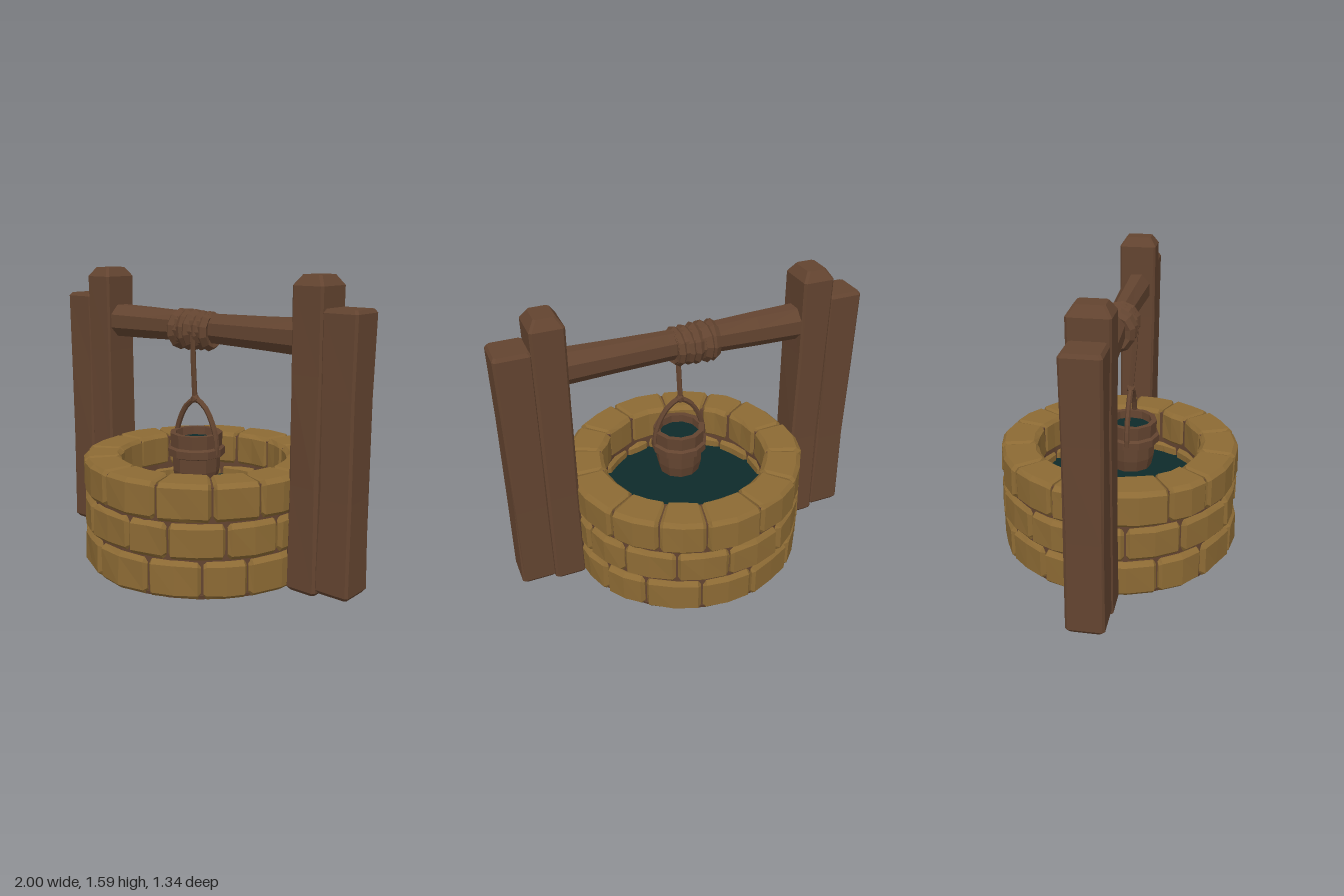
import * as THREE from 'three';

const flat = (name, color, side = THREE.FrontSide) => {
  const m = new THREE.MeshStandardMaterial({ color, flatShading: true, side });
  m.name = name;
  return m;
};

// Small seeded generator for hand-hewn irregularity
let seed = 7;
const rnd = (a = -1, b = 1) => {
  seed = (seed * 16807) % 2147483647;
  return a + (b - a) * (seed / 2147483647);
};

// Closed solid from a list of equal-length point rings, capped at both ends
function loft(rings) {
  const n = rings[0].length;
  const tris = [];
  for (let i = 0; i < rings.length - 1; i++) {
    for (let j = 0; j < n; j++) {
      const k = (j + 1) % n;
      const a = rings[i][j], b = rings[i][k], c = rings[i + 1][k], d = rings[i + 1][j];
      tris.push([a, b, c], [a, c, d]);
    }
  }
  const first = rings[0], last = rings[rings.length - 1];
  for (let j = 1; j < n - 1; j++) {
    tris.push([first[0], first[j + 1], first[j]], [last[0], last[j], last[j + 1]]);
  }
  // Turn every face outward by checking the signed volume
  let volume = 0;
  const cross = new THREE.Vector3();
  tris.forEach(([a, b, c]) => { volume += a.dot(cross.crossVectors(b, c)); });
  const pts = tris.flatMap(([a, b, c]) => (volume > 0 ? [a, b, c] : [a, c, b]));
  const g = new THREE.BufferGeometry().setFromPoints(pts);
  g.computeVertexNormals();
  return g;
}

// Rectangle with cut corners, as [u, v] pairs
const cutRect = (w, h, c) => [
  [-w + c, -h], [w - c, -h], [w, -h + c], [w, h - c],
  [w - c, h], [-w + c, h], [-w, h - c], [-w, -h + c],
];

// One curved stone of a ring course
function stoneGeometry(a0, a1, y0, y1, rIn, rOut) {
  const gap = 0.008, bevel = 0.035, mid = (rIn + rOut) / 2;
  const w = (rOut - rIn) / 2, h = (y1 - y0) / 2, yc = (y0 + y1) / 2;
  const stations = [[0, 0.018], [bevel, 0], [(a1 - a0) / 2, -0.002], [a1 - a0 - bevel, 0], [a1 - a0 - gap, 0.018]];
  return loft(stations.map(([da, inset], i) => {
    const a = a0 + (i === 0 ? gap : da);
    const wobble = rnd(-0.006, 0.006);
    return cutRect(w - inset, h - inset * 0.6, 0.022).map(([u, v]) => {
      const r = mid + u + wobble + rnd(-0.004, 0.004);
      return new THREE.Vector3(Math.cos(a) * r, yc + v, Math.sin(a) * r);
    });
  }));
}

// Upright timber with chamfered ends and slightly uneven faces
function timberGeometry(w, d, y0, y1, chamfer) {
  const h = y1 - y0;
  const levels = [
    [y0, 0.015], [y0 + 0.02, 0], [y0 + h * 0.35, 0.004],
    [y0 + h * 0.7, 0.003], [y1 - chamfer * 1.5, 0], [y1, chamfer],
  ];
  return loft(levels.map(([y, inset], i) => {
    const j = i === 2 || i === 3 ? 0.004 : 0;
    return cutRect(w - inset, d - inset, 0.012)
      .map(([x, z]) => new THREE.Vector3(x + rnd() * j, y, z + rnd() * j));
  }));
}

export function createModel() {
  seed = 7;
  const stone = flat('sandstone', 0x8c6a34);
  const wood = flat('dark wood', 0x634430);
  const water = flat('deep water', 0x0e2a2a, THREE.DoubleSide);

  const model = new THREE.Group();
  model.name = 'well';
  const add = (name, geometry, material, parent = model) => {
    const mesh = new THREE.Mesh(geometry, material);
    mesh.name = name;
    parent.add(mesh);
    return mesh;
  };

  // Three courses of stones with staggered joints
  const wall = new THREE.Group();
  wall.name = 'stoneWall';
  model.add(wall);
  [[0.01, 0.205], [0.215, 0.4], [0.41, 0.605]].forEach(([y0, y1], course) => {
    const count = 14, step = (Math.PI * 2) / count;
    const joints = Array.from({ length: count }, (_, i) => (i + course * 0.45) * step + rnd() * 0.07);
    joints.forEach((a, i) => {
      const end = i + 1 < count ? joints[i + 1] : joints[0] + Math.PI * 2;
      add('stone', stoneGeometry(a, end, y0, y1, 0.455, 0.66), stone, wall);
    });
  });

  // Mortar core behind the joints
  const mortar = [[0.47, 0.02], [0.635, 0.02], [0.635, 0.585], [0.47, 0.585], [0.47, 0.02]];
  add('mortar', new THREE.LatheGeometry(mortar.map(([r, y]) => new THREE.Vector2(r, y)), 28), wood);

  // Floor and water surface
  add('floor', new THREE.CylinderGeometry(0.64, 0.635, 0.02, 28), wood).position.y = 0.018;
  const pool = add('wellWater', new THREE.CircleGeometry(0.475, 28), water);
  pool.rotation.x = -Math.PI / 2;
  pool.position.y = 0.34;

  // Tall inner posts and shorter outer posts on both sides
  for (const side of [-1, 1]) {
    add('innerPost', timberGeometry(0.088, 0.105, 0.003, 1.595, 0.034), wood).position.x = side * 0.728;
    add('outerPost', timberGeometry(0.096, 0.098, 0.028, 1.442, 0.012), wood).position.x = side * 0.904;
  }

  // Crossbeam, thinner towards the middle
  const beamSections = [[-0.67, 0.092, 0.09], [-0.4, 0.087, 0.078], [-0.1, 0.078, 0.062],
    [0.1, 0.078, 0.06], [0.4, 0.084, 0.07], [0.67, 0.092, 0.08]];
  add('crossbeam', loft(beamSections.map(([x, ry, rz]) => Array.from({ length: 8 }, (_, i) => {
    const a = (i + 0.5) * Math.PI / 4, s = 1.07;
    return new THREE.Vector3(x, 1.29 + Math.sin(a) * ry * s, -0.005 + Math.cos(a) * rz * s);
  }))), wood);

  // Rope coiled around the beam
  const coil = new THREE.Group();
  coil.name = 'ropeCoil';
  coil.position.set(-0.055, 1.275, 0);
  model.add(coil);
  const core = add('coilCore', new THREE.CylinderGeometry(0.098, 0.098, 0.23, 10), wood, coil);
  core.rotation.z = Math.PI / 2;
  for (let i = 0; i < 5; i++) {
    const loop = add('coilLoop', new THREE.TorusGeometry(0.083 + rnd() * 0.004, 0.03, 5, 11), wood, coil);
    loop.position.x = (i - 2) * 0.05;
    loop.rotation.set(rnd() * 0.1, Math.PI / 2 + rnd() * 0.16, 0);
  }

  // Hanging rope, knot and forked handle
  const bucketZ = 0.065;
  const tube = (points, radius) => new THREE.TubeGeometry(
    new THREE.CatmullRomCurve3(points.map(p => new THREE.Vector3(...p))), 8, radius, 6);
  add('rope', tube([[0, 1.26, 0.09], [-0.004, 1.12, 0.082], [-0.008, 0.9, bucketZ]], 0.015), wood);
  const knot = add('knot', new THREE.IcosahedronGeometry(0.027, 0), wood);
  knot.position.set(-0.006, 0.91, bucketZ);
  for (const side of [-1, 1]) {
    add('bucketHandle', tube([[0, 0.91, bucketZ], [side * 0.06, 0.875, bucketZ],
      [side * 0.115, 0.79, bucketZ], [side * 0.145, 0.69, bucketZ], [side * 0.145, 0.62, bucketZ]], 0.015), wood);
  }

  // Bucket with a thick band, open top and water inside
  const bucket = new THREE.Group();
  bucket.name = 'bucket';
  bucket.position.z = bucketZ;
  model.add(bucket);
  const profile = [[0, 0.455], [0.115, 0.455], [0.13, 0.52], [0.132, 0.595], [0.158, 0.605],
    [0.158, 0.645], [0.142, 0.655], [0.145, 0.728], [0.115, 0.728], [0.11, 0.64]];
  add('bucketBody', new THREE.LatheGeometry(profile.map(([r, y]) => new THREE.Vector2(r, y)), 11), wood, bucket);
  const fill = add('bucketWater', new THREE.CircleGeometry(0.115, 11), water, bucket);
  fill.rotation.x = -Math.PI / 2;
  fill.position.y = 0.685;

  return model;
}
